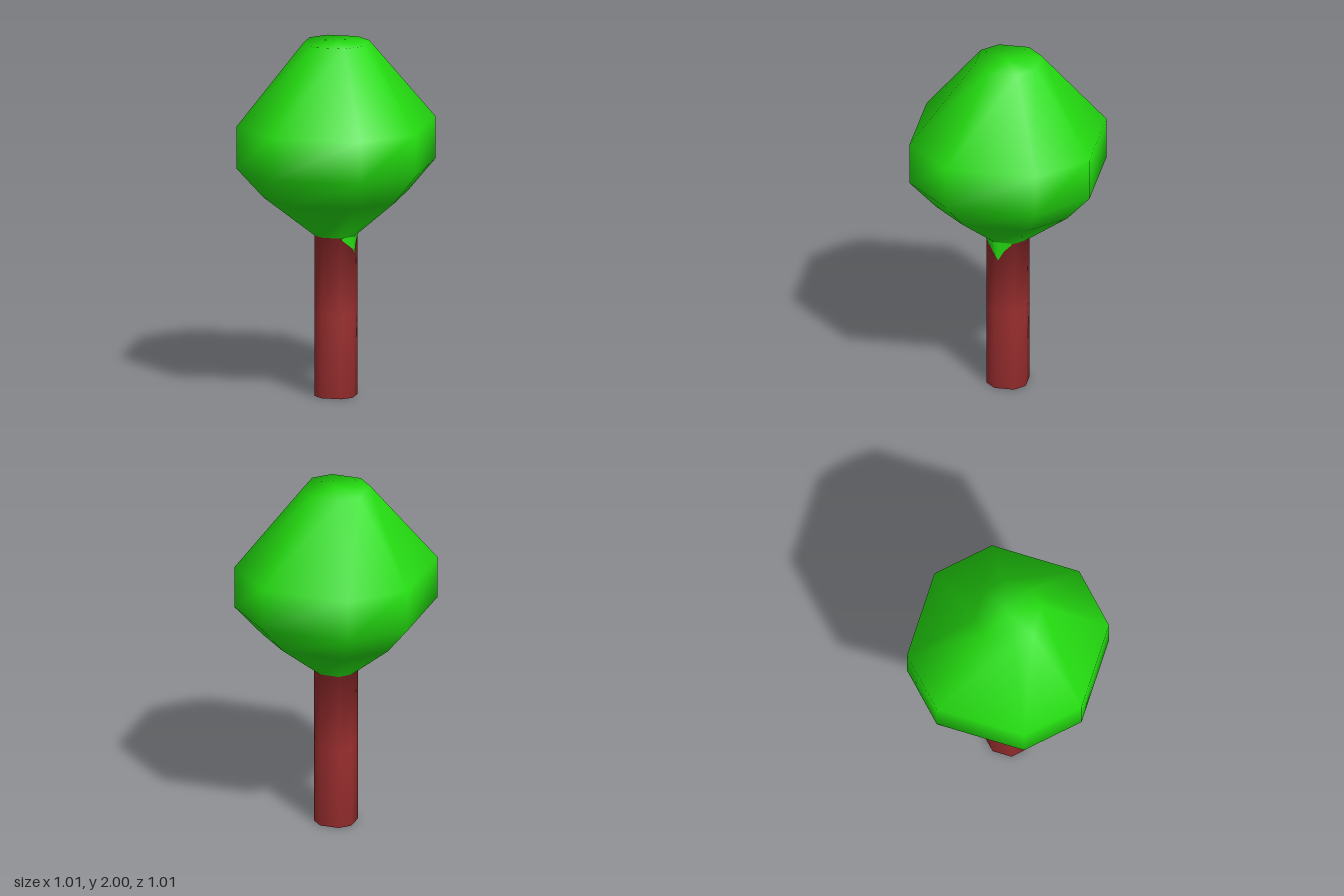
import * as THREE from 'three';

const leafGreen = new THREE.MeshStandardMaterial({ color: 0x24dc10 });
const barkRed = new THREE.MeshStandardMaterial({ color: 0x9e2f30 });

// Chamfered-square ring: half width r, straight side half length r / 2
function ring(r, y) {
  const h = r / 2;
  return [[r, -h], [r, h], [h, r], [-h, r], [-r, h], [-r, -h], [-h, -r], [h, -r]]
    .flatMap(([x, z]) => [x, y, z]);
}

// [half width, height] from the ground to the treetop
const profile = [[0.11, 0], [0.11, 0.47], [0.11, 0.91], [0.37, 1.14],
  [0.507, 1.31], [0.507, 1.55], [0.17, 2]];
const trunkTop = 2; // profile index where the crown begins

// One smooth skin, so trunk and crown share normals where they meet
function buildSkin() {
  const positions = profile.flatMap(([r, y]) => ring(r, y));
  const last = profile.length - 1;
  const bottom = profile.length * 8, top = bottom + 1;
  positions.push(0, 0, 0, 0, profile[last][1], 0);
  const trunk = [], crown = [];
  for (let i = 0; i < 8; i++) {
    const j = (i + 1) % 8;
    trunk.push(bottom, i, j);
    crown.push(top, last * 8 + j, last * 8 + i);
    for (let k = 0; k < last; k++) {
      const a = k * 8 + i, b = a + 8, c = k * 8 + j, d = c + 8;
      (k < trunkTop ? trunk : crown).push(a, b, c, c, b, d);
    }
  }
  const skin = new THREE.BufferGeometry();
  skin.setAttribute('position', new THREE.Float32BufferAttribute(positions, 3));
  skin.setIndex([...trunk, ...crown]);
  skin.computeVertexNormals();
  const part = (index) => {
    const g = skin.clone();
    g.setIndex(index);
    return g.toNonIndexed();
  };
  return { trunk: part(trunk), crown: part(crown) };
}

// Green fringe running down one side of the trunk: [x, z, lower edge height]
function buildFringe() {
  const edge = [[0.057, 0.112, 0.9], [0.086, 0.083, 0.87], [0.112, 0.057, 0.84],
    [0.112, 0.035, 0.8], [0.112, 0, 0.86], [0.112, -0.04, 0.9]];
  const positions = edge.flatMap(([x, z, y]) => [x, y, z, x, 0.912, z]);
  const index = [];
  for (let i = 0; i < edge.length - 1; i++) {
    const a = i * 2;
    index.push(a, a + 2, a + 1, a + 2, a + 3, a + 1);
  }
  const g = new THREE.BufferGeometry();
  g.setAttribute('position', new THREE.Float32BufferAttribute(positions, 3));
  g.setIndex(index);
  g.computeVertexNormals();
  return g;
}

export function createModel() {
  const tree = new THREE.Group();
  tree.name = 'tree';
  const add = (name, geometry, material) => {
    const mesh = new THREE.Mesh(geometry, material);
    mesh.name = name;
    tree.add(mesh);
  };
  const skin = buildSkin();
  add('trunk', skin.trunk, barkRed);
  add('crown', skin.crown, leafGreen);
  add('leafFringe', buildFringe(), leafGreen);
  return tree;
}
